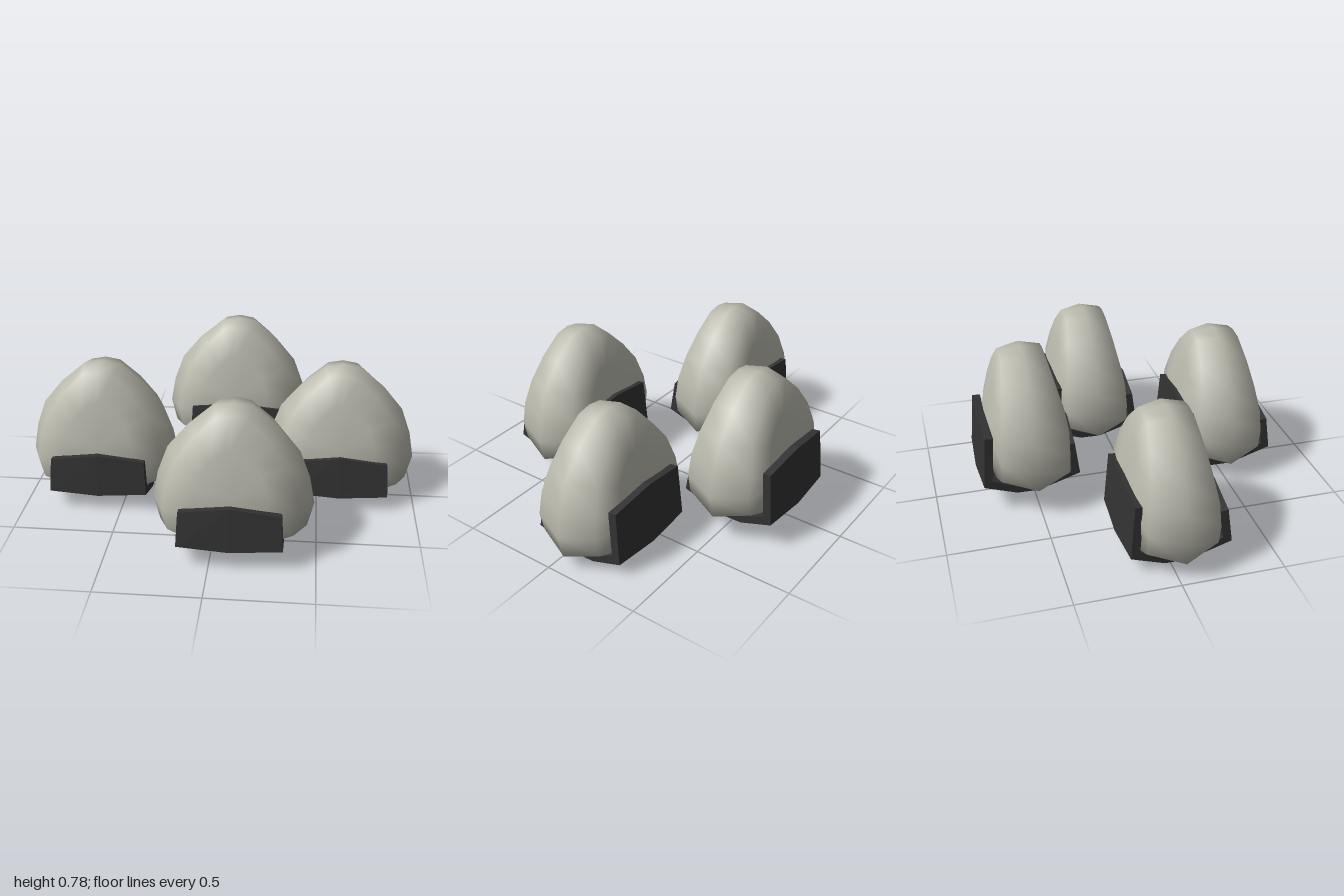
import * as THREE from 'three';

const rice = new THREE.MeshStandardMaterial({ color: 0xb9b9ad });
rice.name = 'rice';
const seaweed = new THREE.MeshStandardMaterial({ color: 0x333333 });
seaweed.name = 'seaweed';

function indexed(points, index) {
  const g = new THREE.BufferGeometry();
  g.setAttribute('position', new THREE.Float32BufferAttribute(points.flat(), 3));
  g.setIndex(index);
  return g;
}

// Piecewise linear lookup in [key, value] pairs sorted by key
function lookup(table, v) {
  if (v <= table[0][0]) return table[0][1];
  for (let i = 1; i < table.length; i++) {
    const [a, p] = table[i - 1], [b, q] = table[i];
    if (v <= b) return p + (q - p) * (v - a) / (b - a);
  }
  return table[table.length - 1][1];
}

// Rounded triangular rice body: shrinking outline rings from front to back
function riceGeometry() {
  const half = [[0, 0.705], [0.09, 0.69], [0.21, 0.59], [0.31, 0.47], [0.36, 0.335],
    [0.385, 0.2], [0.355, 0.075], [0.22, 0.025], [0, 0.015]];
  const outline = [
    ...half.map(([x, y]) => [-x, y]),
    ...half.slice(1, -1).reverse(),
  ];
  const depth = [[0.1, 0.195], [0.3, 0.198], [0.43, 0.165], [0.68, 0.108]];
  const midY = 0.36, n = outline.length;

  const ring = (sx, up, down, side, bulge) => outline.map(([x, y]) => {
    const px = x * sx;
    const py = midY + (y - midY) * (y > midY ? up : down);
    const z = side * (lookup(depth, py) * (1 - 0.14 * (px / 0.32) ** 2) + bulge);
    return [px, py, z];
  });
  const points = [
    ...ring(0.45, 0.5, 0.5, 1, 0.008),
    ...ring(0.83, 0.94, 0.84, 1, 0),
    ...ring(1, 1, 1, 0, 0),
    ...ring(0.83, 0.94, 0.84, -1, 0),
    ...ring(0.45, 0.5, 0.5, -1, 0.008),
    [0, 0.32, 0.208], [0, 0.32, -0.208],
  ];
  const front = 5 * n, back = front + 1, index = [];
  for (let k = 0; k < n; k++) {
    const m = (k + 1) % n;
    index.push(front, k, m, back, 4 * n + m, 4 * n + k);
    for (let r = 0; r < 4; r++) {
      const a = r * n + k, b = r * n + m, c = b + n, d = a + n;
      index.push(a, d, b, b, d, c);
    }
  }
  const g = indexed(points, index);
  g.computeVertexNormals();
  return g;
}

// Thick strip folded under the body, slightly bowed along its middle
function wrapGeometry() {
  const outer = [[0.222, 0.25], [0.243, 0.08], [0.03, 0.012], [-0.08, 0.014],
    [-0.243, 0.07], [-0.222, 0.34]];
  const inner = [[0.18, 0.245], [0.2, 0.105], [0.03, 0.05], [-0.08, 0.05],
    [-0.2, 0.1], [-0.18, 0.335]];
  const loop = [...outer, ...inner.slice().reverse()];
  const n = loop.length, points = [], index = [];
  for (const s of [-1, 0, 1]) {
    const bow = 1 - Math.abs(s);
    for (const [z, y] of loop) {
      const top = y > 0.2;
      points.push([s * (top ? 0.238 : 0.248),
        y + bow * (top ? 0.035 : -0.012), z + Math.sign(z) * bow * 0.012]);
    }
  }
  for (let j = 0; j < 2; j++) {
    for (let k = 0; k < n; k++) {
      const a = j * n + k, b = j * n + (k + 1) % n;
      index.push(a, b, a + n, b, b + n, a + n);
    }
  }
  // End caps
  for (let k = 0; k < outer.length - 1; k++) {
    const i0 = n - 1 - k, i1 = n - 2 - k, e = 2 * n;
    index.push(e + k, e + k + 1, e + i1, e + k, e + i1, e + i0);
    index.push(k, i1, k + 1, k, i0, i1);
  }
  const g = indexed(points, index).toNonIndexed();
  g.computeVertexNormals();
  return g;
}

export function createModel() {
  const model = new THREE.Group();
  model.name = 'riceBalls';
  const body = riceGeometry(), wrap = wrapGeometry();

  // Position of each rice ball and the z shift of its wrap
  const balls = [
    ['frontRiceBall', 0.098, 0.035, 0.515, 0.012],
    ['rightRiceBall', -0.615, 0.02, 0.03, 0.012],
    ['leftRiceBall', 0.61, 0.005, -0.07, 0],
    ['backRiceBall', 0.043, 0.082, -0.515, -0.012],
  ];
  for (const [name, x, y, z, shift] of balls) {
    const ball = new THREE.Group();
    ball.name = name;
    ball.position.set(x, y, z);
    const riceMesh = new THREE.Mesh(body, rice);
    riceMesh.name = 'riceBody';
    const wrapMesh = new THREE.Mesh(wrap, seaweed);
    wrapMesh.name = 'seaweedWrap';
    wrapMesh.position.z = shift;
    ball.add(riceMesh, wrapMesh);
    model.add(ball);
  }
  return model;
}
